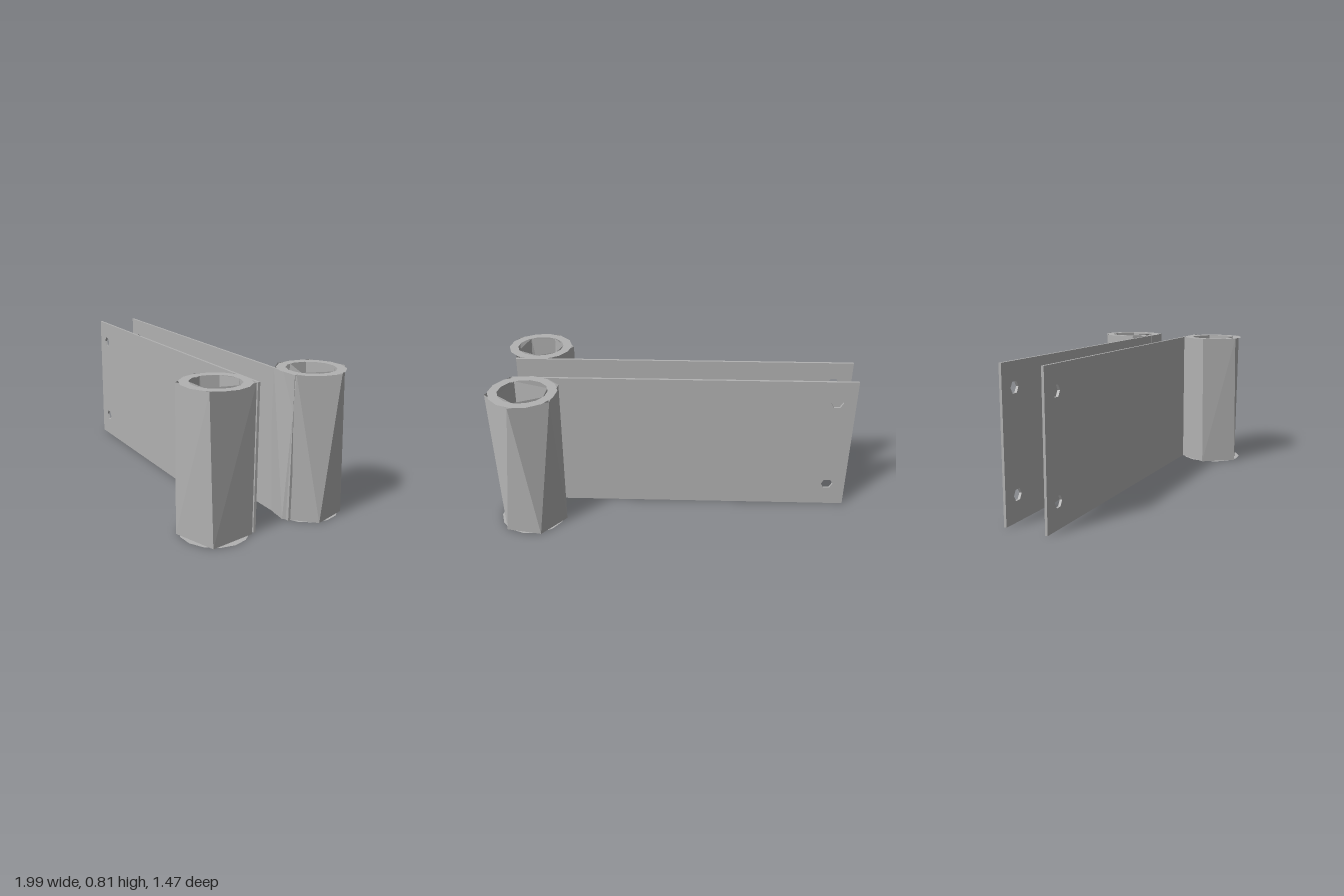
import * as THREE from 'three';

const HEIGHT = 0.81;
const THICKNESS = 0.014;

const steel = new THREE.MeshStandardMaterial({ color: 0xb2b2b2, flatShading: true, side: THREE.DoubleSide });
steel.name = 'grey steel';

function part(name, geometry) {
  const mesh = new THREE.Mesh(geometry, steel);
  mesh.name = name;
  return mesh;
}

// Flat leaf with two six-sided screw holes near its free end
function makeLeaf(x, z, length) {
  const shape = new THREE.Shape();
  shape.moveTo(0, 0).lineTo(length, 0).lineTo(length, HEIGHT).lineTo(0, HEIGHT).closePath();
  for (const y of [0.14, 0.68]) {
    shape.holes.push(new THREE.Path().absarc(0.105, y, 0.034, 0, Math.PI * 2, true));
  }
  const geometry = new THREE.ExtrudeGeometry(shape, { depth: THICKNESS, bevelEnabled: false, curveSegments: 3 });
  geometry.translate(0, 0, -THICKNESS / 2);
  const leaf = part('leaf', geometry);
  leaf.rotation.y = -Math.PI / 6;
  leaf.position.set(x, 0, z);
  return leaf;
}

// Faceted wall joining a top and a bottom polygon, corners given in degrees from x towards z
function makeWall(name, radius, top, bottom) {
  const point = (deg, y) => {
    const a = THREE.MathUtils.degToRad(deg);
    return [radius * Math.cos(a), y, radius * Math.sin(a)];
  };
  const positions = [];
  top.forEach((t, i) => {
    const j = (i + 1) % top.length;
    const a = point(t, HEIGHT), b = point(bottom[i], 0);
    const c = point(top[j], HEIGHT), d = point(bottom[j], 0);
    positions.push(...a, ...d, ...b, ...a, ...c, ...d);
  });
  const geometry = new THREE.BufferGeometry();
  geometry.setAttribute('position', new THREE.Float32BufferAttribute(positions, 3));
  // Corners run clockwise seen from above, or the reverse; make every face point away from the axis
  if ((top[1] - top[0]) < 0) {
    const p = geometry.attributes.position;
    for (let i = 0; i < p.count; i += 3) {
      const b = new THREE.Vector3().fromBufferAttribute(p, i + 1);
      const c = new THREE.Vector3().fromBufferAttribute(p, i + 2);
      p.setXYZ(i + 1, c.x, c.y, c.z);
      p.setXYZ(i + 2, b.x, b.y, b.z);
    }
  }
  geometry.computeVertexNormals();
  return part(name, geometry);
}

// Hollow knuckle: outer wall, inner wall and a ring at each end
function makeKnuckle(x, z, outer, inner) {
  const knuckle = new THREE.Group();
  knuckle.name = 'knuckle';
  knuckle.add(makeWall('outerWall', 0.2, outer.top, outer.bottom));
  knuckle.add(makeWall('innerWall', 0.136, inner.top, inner.bottom));
  for (const [name, y, turn] of [['topRing', HEIGHT, -1], ['bottomRing', 0, 1]]) {
    const ring = new THREE.RingGeometry(0.136, 0.187, 14);
    ring.rotateX(turn * Math.PI / 2);
    ring.translate(0, y, 0);
    knuckle.add(part(name, ring));
  }
  knuckle.position.set(x, 0, z);
  return knuckle;
}

export function createModel() {
  const model = new THREE.Group();
  model.name = 'hingePair';

  const front = new THREE.Group();
  front.name = 'frontHingeHalf';
  front.add(
    makeLeaf(-0.995, -0.53, 1.955),
    makeKnuckle(0.51, 0.545,
      { top: [-24, 70, 146, 210, 274], bottom: [-22, 62, 141, 208, 274] },
      { top: [0, 85, 150, 205, 250, 300], bottom: [0, 70, 130, 190, 245, 305] })
  );

  const rear = new THREE.Group();
  rear.name = 'rearHingeHalf';
  rear.add(
    makeLeaf(-0.86, -0.734, 1.915),
    makeKnuckle(0.805, 0.03,
      { top: [90, 17, -48, -115, -175, -215], bottom: [104, 44, -20, -80, -140, -210] },
      { top: [90, 8, -48, -123, -168], bottom: [90, 20, -50, -110, -180] })
  );

  model.add(front, rear);
  return model;
}
